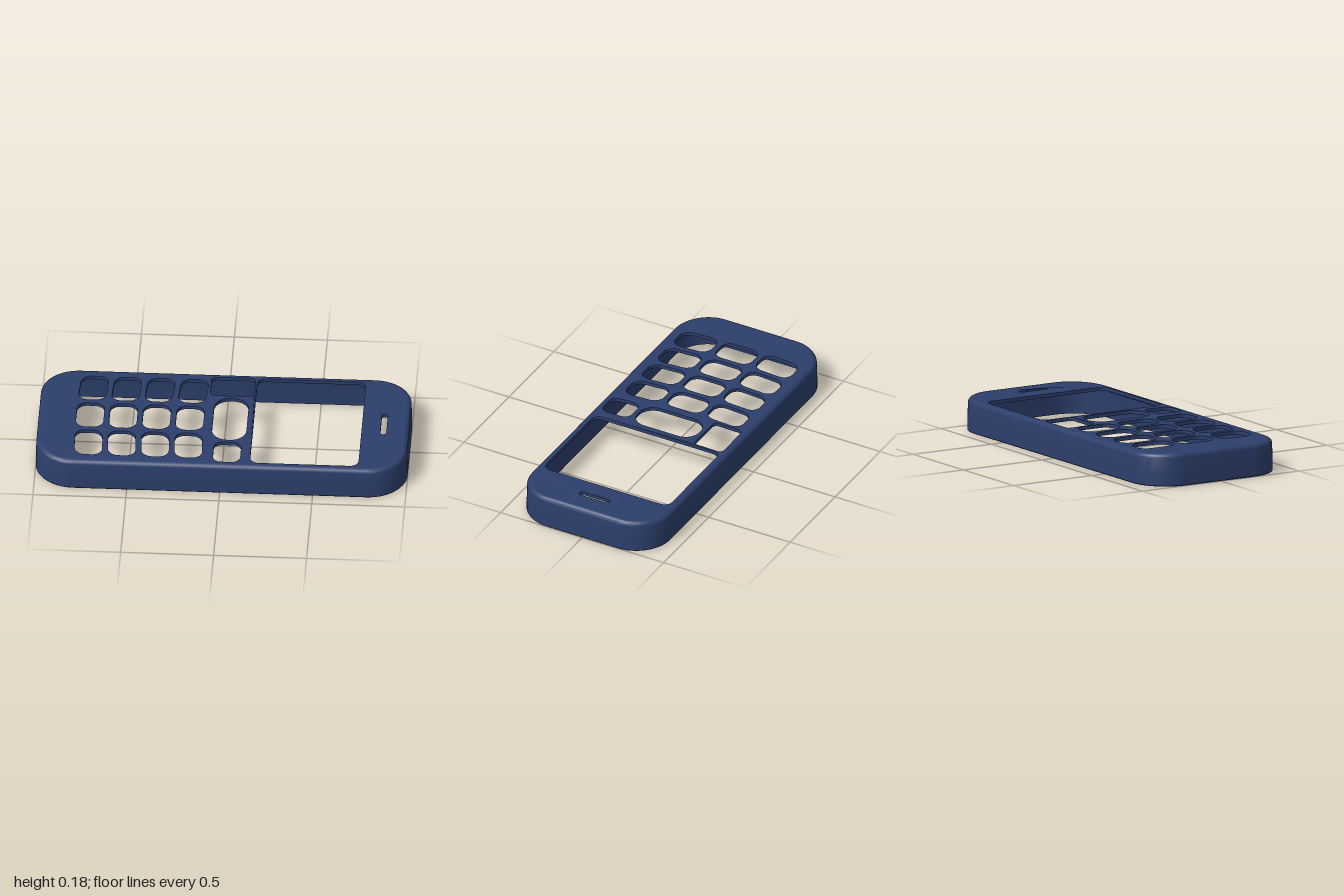
import * as THREE from 'three';
import { toCreasedNormals } from 'three/addons/utils/BufferGeometryUtils.js';

const HALF_X = 1, HALF_Z = 0.427, CORNER = 0.21, HEIGHT = 0.18, PLATE = 0.02, RIM = 0.028;

// Rounded rectangle outline; lean shears it sideways along its height
function outline(cx, cy, hx, hy, r, seg = 7, lean = 0) {
  const pts = [];
  [[1, 1], [-1, 1], [-1, -1], [1, -1]].forEach(([sx, sy], q) => {
    for (let i = 0; i <= seg; i++) {
      const a = (q + i / seg) * Math.PI / 2;
      const y = sy * (hy - r) + r * Math.sin(a);
      pts.push(new THREE.Vector2(cx + sx * (hx - r) + r * Math.cos(a) + lean * y, cy + y));
    }
  });
  return pts;
}

// The top surface falls away slightly towards the long sides
function crown(geometry) {
  const p = geometry.attributes.position;
  for (let i = 0; i < p.count; i++) {
    p.setY(i, p.getY(i) - 0.2 * p.getZ(i) ** 4 * p.getY(i) / HEIGHT);
  }
  return toCreasedNormals(geometry, 0.6);
}

// Opening given by its extents seen from above
function opening(x0, x1, z0, z1, r, lean = 0) {
  return new THREE.Path(outline((x0 + x1) / 2, -(z0 + z1) / 2, (x1 - x0) / 2, (z1 - z0) / 2, r, 7, lean));
}

// Face plate with its openings
function facePlate() {
  const shape = new THREE.Shape(outline(0, 0, HALF_X - RIM, HALF_Z - RIM, CORNER - RIM, 14));
  // Keypad: four columns of three keys, outer rows leaning
  for (let col = 0; col < 4; col++) {
    for (let row = -1; row <= 1; row++) {
      const x = -0.72 + col * 0.179 + Math.abs(row) * 0.005, z = row * 0.248;
      shape.holes.push(opening(x - 0.074, x + 0.074, z - 0.109, z + 0.109, 0.055, -row * 0.05));
    }
  }
  shape.holes.push(
    opening(0.16, 0.743, -0.384, 0.384, 0.045),    // screen
    opening(-0.086, 0.15, -0.386, -0.214, 0.028),  // upper soft key
    opening(-0.059, 0.126, -0.191, 0.188, 0.085),  // navigation key
    opening(-0.041, 0.106, 0.21, 0.384, 0.045),    // lower soft key
    opening(0.845, 0.877, -0.091, 0.091, 0.014)    // earpiece slot
  );
  const g = new THREE.ExtrudeGeometry(shape, { depth: PLATE, bevelEnabled: false });
  g.rotateX(-Math.PI / 2).translate(0, HEIGHT - PLATE, 0);
  return crown(g);
}

// Hollow side wall: a closed profile of [inset, height] swept round the outline
function sideWall() {
  const profile = [[0.003, 0], [0, 0.004], [0.001, 0.07], [0.003, HEIGHT - 0.025]];
  for (let i = 1; i <= 6; i++) {
    const a = i / 6 * Math.PI / 2;
    profile.push([RIM - 0.025 * Math.cos(a), HEIGHT - 0.025 + 0.025 * Math.sin(a)]);
  }
  profile.push([RIM, HEIGHT - PLATE], [0.018, HEIGHT - 0.03], [0.016, 0.13], [0.015, 0], [0.003, 0]);
  const pos = [], index = [];
  let n = 0;
  profile.forEach(([d, y], k) => {
    const ring = outline(0, 0, HALF_X - d, HALF_Z - d, CORNER - d, 14);
    n = ring.length;
    ring.forEach((p, i) => {
      pos.push(p.x, y, -p.y);
      if (k === 0) return;
      const j = (i + 1) % n, a = (k - 1) * n, b = k * n;
      index.push(a + i, a + j, b + j, a + i, b + j, b + i);
    });
  });
  const g = new THREE.BufferGeometry();
  g.setAttribute('position', new THREE.Float32BufferAttribute(pos, 3));
  g.setIndex(index);
  return crown(g);
}

export function createModel() {
  const group = new THREE.Group();
  group.name = 'phoneCover';
  const material = new THREE.MeshStandardMaterial({ color: 0x2c3e6b });
  const add = (name, geometry) => {
    const mesh = new THREE.Mesh(geometry, material);
    mesh.name = name;
    group.add(mesh);
  };
  add('facePlate', facePlate());
  add('sideWall', sideWall());
  return group;
}
